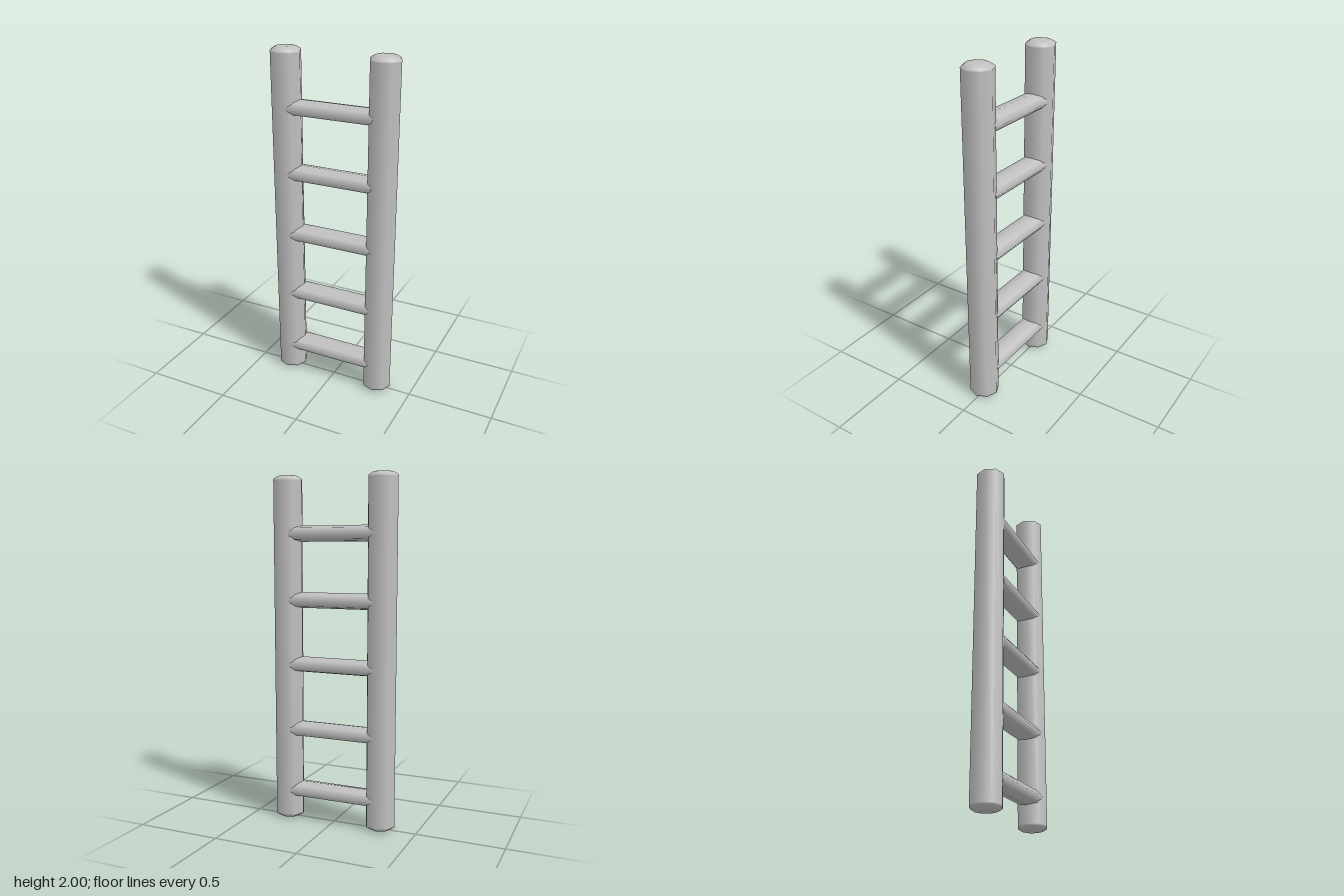
import * as THREE from 'three';

const RAIL_RADIUS = 0.086;
const RUNG_HEIGHTS = [0.175, 0.542, 0.926, 1.299, 1.675];

// Eight-sided upright post with bevelled ends; the extra rings keep the shaft shading straight.
function railGeometry() {
  const r = RAIL_RADIUS;
  const lower = [[0, 0], [0.045, 0], [0.06, 0.003], [r, 0.02], [r, 0.03]];
  const upper = lower.map(([x, y]) => [x, 2 - y]).reverse();
  const profile = [...lower, ...upper].map(([x, y]) => new THREE.Vector2(x, y));
  return new THREE.LatheGeometry(profile, 8);
}

// Flattened eight-sided bar lying along x.
function rungGeometry(x0, x1) {
  const geometry = new THREE.CylinderGeometry(1, 1, x1 - x0, 8);
  geometry.rotateZ(Math.PI / 2);
  geometry.scale(1, 0.045, 0.079);
  geometry.translate((x0 + x1) / 2, 0, 0);
  return geometry;
}

export function createModel() {
  const ladder = new THREE.Group();
  ladder.name = 'ladder';
  const grey = new THREE.MeshStandardMaterial({ color: 0xc0c0c0 });
  grey.name = 'grey';

  // Side rails
  const railShape = railGeometry();
  for (const [name, x] of [['rightRail', -0.288], ['leftRail', 0.287]]) {
    const rail = new THREE.Mesh(railShape, grey);
    rail.name = name;
    rail.position.x = x;
    ladder.add(rail);
  }

  // Rungs, with both ends sunk into the rails
  const rungShape = rungGeometry(-0.285, 0.252);
  RUNG_HEIGHTS.forEach((y, i) => {
    const rung = new THREE.Mesh(rungShape, grey);
    rung.name = `rung${i + 1}`;
    rung.position.y = y;
    ladder.add(rung);
  });

  return ladder;
}
